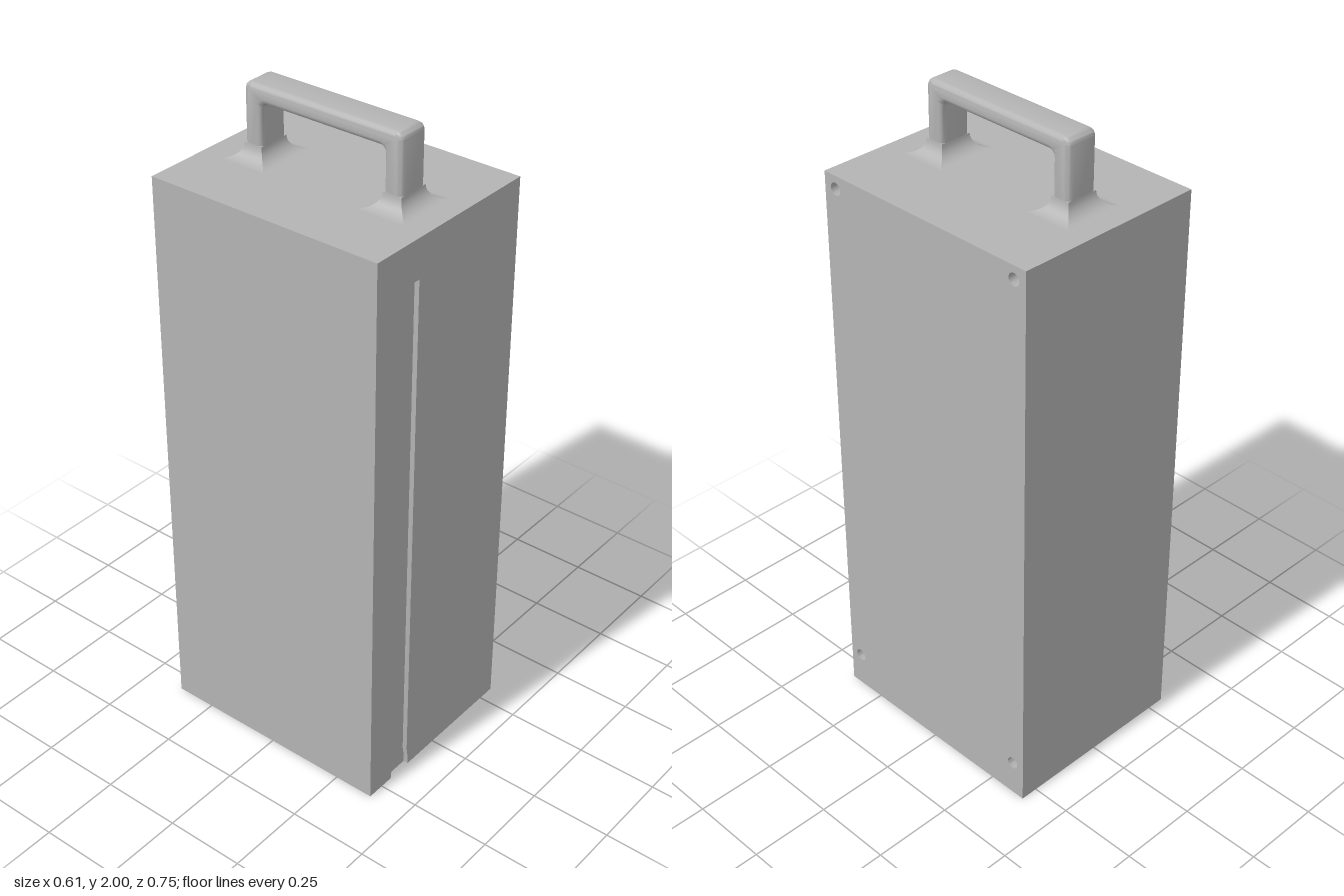
import * as THREE from 'three';
import { toCreasedNormals } from 'three/addons/utils/BufferGeometryUtils.js';

export function createModel() {
  const model = new THREE.Group();
  const grey = new THREE.MeshStandardMaterial({ color: 0xb4b4b4 });
  grey.name = 'casing grey';

  const X = 0.305, Z = 0.377, H = 1.78; // casing half width, half depth, height
  const SKIN_X = 0.275, SKIN_Z = 0.362, RIM = 0.04; // inner limits of the skins

  function add(name, geometry, x = 0, y = 0, z = 0) {
    const mesh = new THREE.Mesh(geometry, grey);
    mesh.name = name;
    mesh.position.set(x, y, z);
    model.add(mesh);
  }
  const polygon = (pts) => new THREE.Shape(pts.map(([a, b]) => new THREE.Vector2(a, b)));
  const rect = (a0, a1, b0, b1) => polygon([[a0, b0], [a1, b0], [a1, b1], [a0, b1]]);
  const circle = (a, b, r) => new THREE.Path().absarc(a, b, r, 0, Math.PI * 2, true);
  const extrude = (shape, depth, extra = {}) => toCreasedNormals(
    new THREE.ExtrudeGeometry(shape, { depth, bevelEnabled: false, curveSegments: 10, ...extra }), 0.6);

  // Solid core behind the skins
  add('casingCore', new THREE.BoxGeometry(X + SKIN_X, H - RIM, Z + SKIN_Z),
    (SKIN_X - X) / 2, (H + RIM) / 2, (SKIN_Z - Z) / 2);

  // Front panel with a long shallow slot, flared at the bottom
  add('frontPanel', extrude(polygon([
    [-X, 0], [-0.207, 0], [-0.204, 0.03], [-0.197, 0.06], [-0.197, 1.66], [-0.131, 1.66],
    [-0.131, 0.06], [-0.126, 0.03], [-0.125, 0], [X, 0], [X, H], [-X, H],
  ]), Z - SKIN_Z), 0, 0, SKIN_Z);

  // Side panel with four screw holes
  const side = rect(-SKIN_Z, Z, 0, H);
  for (const z of [-0.335, 0.335])
    for (const y of [0.115, 1.74]) side.holes.push(circle(z, y, 0.019));
  add('sidePanel', extrude(side, X - SKIN_X).rotateY(Math.PI / 2), SKIN_X);

  // Base rim: L-shaped recess around a connector plate with four holes
  const base = rect(-X, SKIN_X, -Z, SKIN_Z);
  base.holes.push(polygon([
    [-0.265, -0.345], [0.265, -0.345], [0.265, 0.315],
    [0.17, 0.315], [0.17, 0.135], [-0.265, 0.135],
  ]));
  for (const [x, r] of [[0.125, 0.011], [0.015, 0.024], [-0.095, 0.024], [-0.205, 0.011]])
    base.holes.push(circle(x, 0.21, r));
  add('baseRim', extrude(base, RIM).rotateX(Math.PI / 2), 0, RIM);

  // Handle: rounded arch, bevelled on every edge
  const OUT = 0.263, IN = 0.204, W = 0.102, B = 0.016, HX = -0.011;
  const arch = new THREE.Shape();
  arch.moveTo(-OUT, H - 0.02);
  arch.lineTo(-IN, H - 0.02);
  arch.lineTo(-IN, 1.93);
  arch.quadraticCurveTo(-IN, 1.947, -IN + 0.017, 1.947);
  arch.lineTo(IN - 0.017, 1.947);
  arch.quadraticCurveTo(IN, 1.947, IN, 1.93);
  arch.lineTo(IN, H - 0.02);
  arch.lineTo(OUT, H - 0.02);
  arch.lineTo(OUT, 1.975);
  arch.quadraticCurveTo(OUT, 2, OUT - 0.025, 2);
  arch.lineTo(-OUT + 0.025, 2);
  arch.quadraticCurveTo(-OUT, 2, -OUT, 1.975);
  add('handle', extrude(arch, W - 2 * B, {
    bevelEnabled: true, bevelThickness: B, bevelSize: B, bevelOffset: -B, bevelSegments: 4,
  }).rotateY(Math.PI / 2), HX - W / 2 + B);

  // Concave mitred fillets where the handle legs meet the lid
  const R = 0.045;
  for (const s of [-1, 1]) {
    const foot = new THREE.BoxGeometry(W, 1, OUT - IN, 1, 8, 1);
    const p = foot.attributes.position;
    for (let i = 0; i < p.count; i++) {
      const a = (0.5 - p.getY(i)) * Math.PI / 2; // 0 at the leg, 90 degrees at the lid
      const spread = R * (1 - Math.cos(a));
      p.setXYZ(i, p.getX(i) + Math.sign(p.getX(i)) * spread, R * (1 - Math.sin(a)),
        p.getZ(i) + Math.sign(p.getZ(i)) * spread);
    }
    foot.computeVertexNormals();
    add(s > 0 ? 'frontHandleFoot' : 'backHandleFoot', foot, HX, H, s * (OUT + IN) / 2);
  }
  return model;
}
